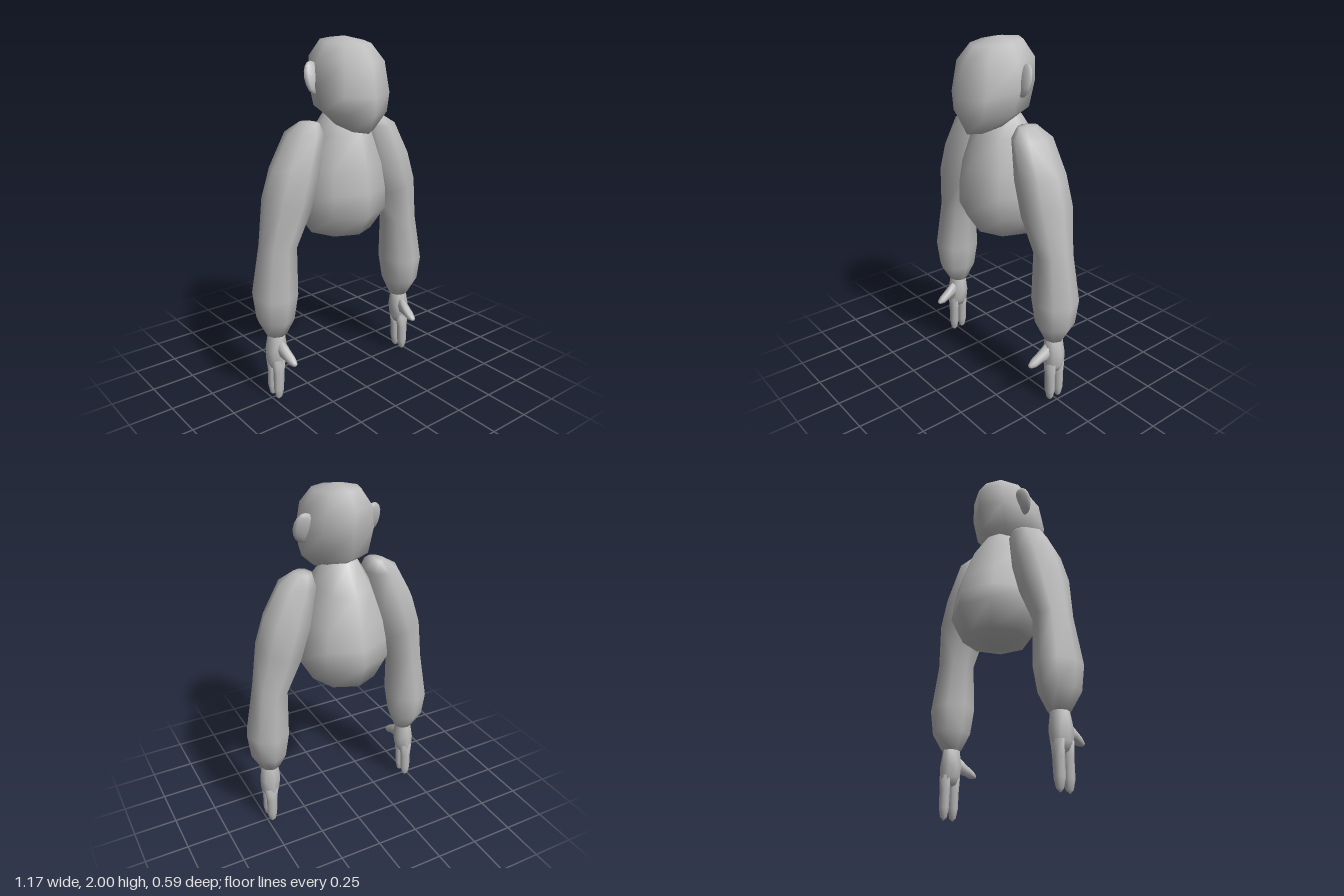
import * as THREE from 'three';

const SIDES = 8;

// Closed smooth skin over rings. Ring: [pointA, pointB, halfWidthVector];
// A and B are opposite points of the ring. start and end close the tips.
function loft(name, material, rings, start, end, side = 1) {
  const pos = [], index = [];
  const put = (p) => pos.push(p.x * side, p.y, p.z) / 3 - 1;
  const V = (a) => new THREE.Vector3(...a);
  for (const [a, b, w] of rings) {
    const A = V(a), B = V(b);
    const centre = A.clone().add(B).multiplyScalar(0.5);
    const u = A.sub(B).multiplyScalar(0.5);
    for (let i = 0; i < SIDES; i++) {
      const t = (i / SIDES) * Math.PI * 2;
      put(centre.clone().addScaledVector(u, Math.cos(t)).addScaledVector(V(w), Math.sin(t)));
    }
  }
  const s = put(V(start)), e = put(V(end)), last = (rings.length - 1) * SIDES;
  for (let i = 0; i < SIDES; i++) {
    const j = (i + 1) % SIDES;
    index.push(s, i, j, e, last + j, last + i);
    for (let r = 0; r < last; r += SIDES) {
      index.push(r + i, r + SIDES + i, r + j, r + j, r + SIDES + i, r + SIDES + j);
    }
  }
  // Turn the faces outward if the enclosed volume is negative
  const P = (i) => new THREE.Vector3().fromArray(pos, index[i] * 3);
  let volume = 0;
  for (let i = 0; i < index.length; i += 3) volume += P(i).dot(P(i + 1).cross(P(i + 2)));
  if (volume < 0) index.reverse();

  const geometry = new THREE.BufferGeometry();
  geometry.setAttribute('position', new THREE.Float32BufferAttribute(pos, 3));
  geometry.setIndex(index);
  geometry.computeVertexNormals();
  const mesh = new THREE.Mesh(geometry, material);
  mesh.name = name;
  return mesh;
}

// Ring from front and back points [y, z] and a half width in x
const bodyRing = ([yf, zf], [yb, zb], w, x = 0) => [[x, yf, zf], [x, yb, zb], [w, 0, 0]];
// Ring from outer and inner points [x, y] and a half depth in z
const limbRing = ([xo, yo], [xi, yi], d, z = 0.005) => [[xo, yo, z], [xi, yi, z], [0, 0, d]];

export function createModel() {
  const model = new THREE.Group();
  model.name = 'apeFigure';
  const grey = new THREE.MeshStandardMaterial({ color: 0xbcbcbc });
  grey.name = 'grey';

  // Torso, from neck to rounded belly
  model.add(loft('torso', grey, [
    bodyRing([1.59, 0.09], [1.6, -0.09], 0.1),
    bodyRing([1.5, 0.17], [1.45, -0.19], 0.17),
    bodyRing([1.32, 0.225], [1.27, -0.255], 0.235),
    bodyRing([1.18, 0.248], [1.17, -0.277], 0.255),
    bodyRing([1.05, 0.248], [1.08, -0.292], 0.262),
    bodyRing([0.93, 0.165], [0.93, -0.225], 0.185),
  ], [0, 1.61, 0], [0, 0.885, -0.02]));

  // Head, leaning forward to the muzzle
  model.add(loft('head', grey, [
    bodyRing([1.96, 0.19], [1.985, -0.11], 0.125),
    bodyRing([1.87, 0.265], [1.9, -0.168], 0.19),
    bodyRing([1.7, 0.293], [1.79, -0.16], 0.212),
    bodyRing([1.61, 0.293], [1.64, -0.135], 0.185),
    bodyRing([1.51, 0.24], [1.59, -0.06], 0.105),
  ], [0, 2, 0.03], [0, 1.51, 0.14]));

  for (const [side, label] of [[1, 'left'], [-1, 'right']]) {
    // Ear
    const ear = new THREE.Mesh(new THREE.SphereGeometry(1, 8, 8), grey);
    ear.name = label + 'Ear';
    ear.scale.set(0.06, 0.087, 0.024);
    ear.position.set(side * 0.197, 1.795, 0.015);
    ear.rotation.set(-0.25, side * -0.15, 0);
    model.add(ear);

    const arm = new THREE.Group();
    arm.name = label + 'Arm';
    const part = (name, rings, start, end) => arm.add(loft(name, grey, rings, start, end, side));

    // Upper arm and forearm
    part('armMuscles', [
      limbRing([0.265, 1.565], [0.165, 1.56], 0.06),
      limbRing([0.35, 1.515], [0.148, 1.5], 0.115),
      limbRing([0.45, 1.34], [0.185, 1.28], 0.14),
      limbRing([0.5, 1.18], [0.25, 1.09], 0.146),
      limbRing([0.54, 0.92], [0.33, 0.91], 0.107),
      limbRing([0.587, 0.64], [0.335, 0.65], 0.134),
      limbRing([0.57, 0.5], [0.36, 0.5], 0.115),
      limbRing([0.517, 0.4], [0.4, 0.4], 0.056),
    ], [0.21, 1.57, 0.005], [0.46, 0.395, 0.005]);

    // Palm
    part('palm', [
      limbRing([0.505, 0.42], [0.415, 0.42], 0.048),
      limbRing([0.527, 0.31], [0.4, 0.31], 0.06),
      limbRing([0.522, 0.24], [0.415, 0.24], 0.06),
      limbRing([0.503, 0.2], [0.435, 0.2], 0.052),
    ], [0.46, 0.43, 0.005], [0.47, 0.185, 0.005]);

    // Two fingers
    for (const z of [0.036, -0.025]) {
      part('finger', [
        limbRing([0.515, 0.25], [0.425, 0.25], 0.028, z),
        limbRing([0.505, 0.17], [0.438, 0.17], 0.028, z),
        limbRing([0.506, 0.07], [0.443, 0.07], 0.027, z),
        limbRing([0.495, 0.02], [0.455, 0.02], 0.018, z),
      ], [0.47, 0.27, z], [0.476, 0, z]);
    }

    // Thumb, pointing forward
    part('thumb', [
      bodyRing([0.38, 0.04], [0.27, 0.04], 0.032, 0.455),
      bodyRing([0.335, 0.095], [0.265, 0.1], 0.029, 0.452),
      bodyRing([0.302, 0.145], [0.253, 0.135], 0.026, 0.448),
      bodyRing([0.28, 0.168], [0.256, 0.165], 0.015, 0.447),
    ], [0.455, 0.32, 0.02], [0.447, 0.266, 0.176]);
    model.add(arm);
  }
  return model;
}
